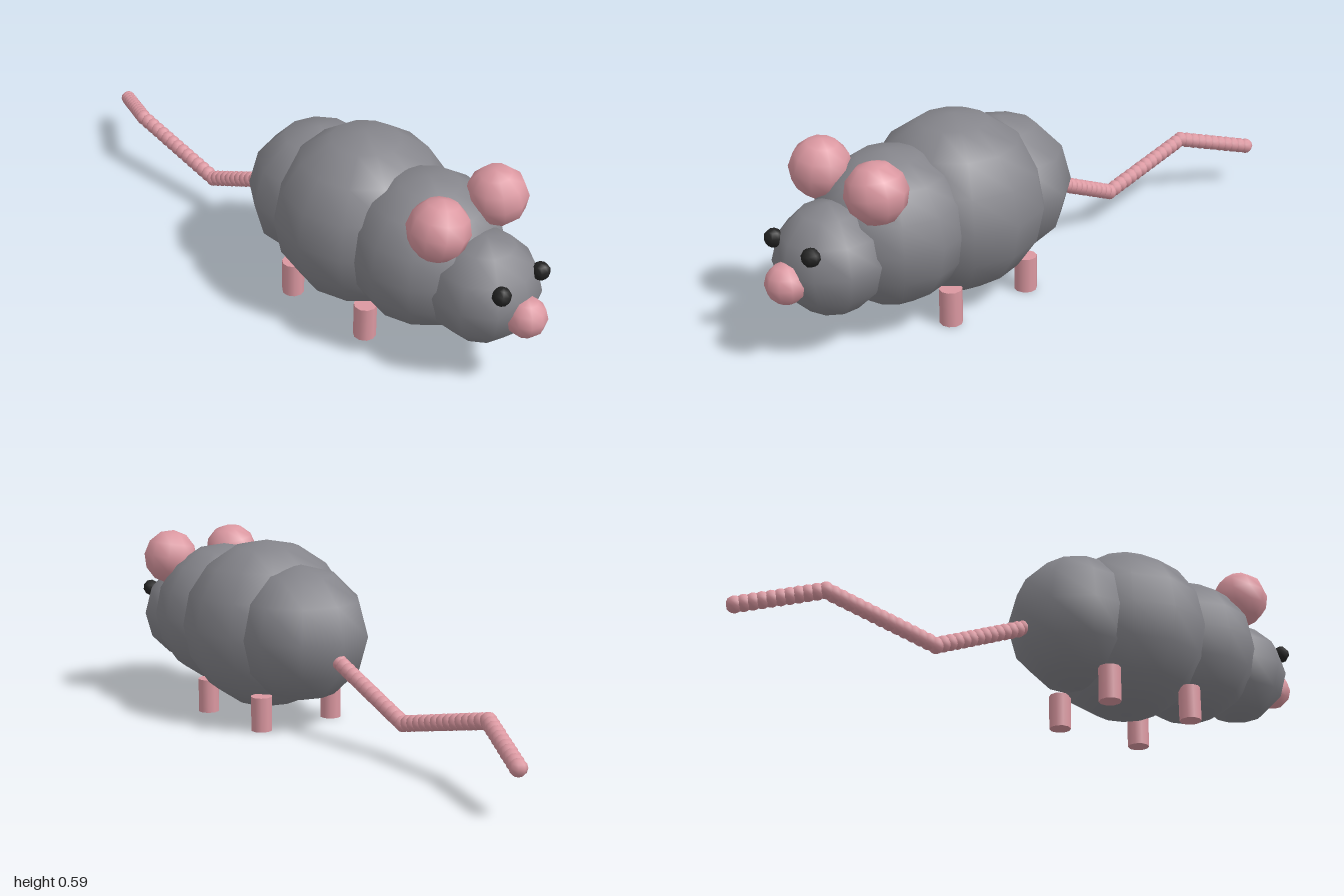
import * as THREE from 'three';

export function createModel() {
  const model = new THREE.Group();
  model.name = 'mouse';
  const paint = (name, color) => {
    const m = new THREE.MeshStandardMaterial({ color });
    m.name = name;
    return m;
  };
  const fur = paint('greyFur', 0x85858b);
  const skin = paint('pinkSkin', 0xdb98a1);
  const black = paint('blackEye', 0x222222);

  const add = (name, geometry, material, x, y, z, parent = model) => {
    const mesh = new THREE.Mesh(geometry, material);
    mesh.name = name;
    mesh.position.set(x, y, z);
    parent.add(mesh);
    return mesh;
  };
  // Low-sided ball with a vertex facing front
  const ball = (r, w, h) => new THREE.SphereGeometry(r, w, h).rotateY(Math.PI / 2);

  // Body, from head to rump
  add('head', ball(0.167, 10, 6), fur, 0, 0.28, 0.776);
  add('chest', ball(0.237, 12, 8), fur, 0, 0.309, 0.56);
  add('belly', ball(0.278, 12, 8), fur, 0, 0.309, 0.31);
  add('rump', ball(0.223, 10, 6), fur, 0, 0.305, 0.123);
  add('nose', ball(0.061, 10, 6), skin, 0, 0.253, 0.934);

  // Paired ears, eyes and legs
  for (const [side, s] of [['left', 1], ['right', -1]]) {
    const ear = add(side + 'Ear', ball(0.092, 10, 6), skin, s * 0.126, 0.494, 0.705);
    ear.rotation.z = s * 0.17;
    const eye = add(side + 'Eye', ball(0.028, 8, 5), black, s * 0.086, 0.353, 0.907);
    eye.rotation.z = s * 0.17;
    for (const [end, z] of [['Front', 0.457], ['Back', 0.149]]) {
      add(side + end + 'Leg', new THREE.CylinderGeometry(0.035, 0.035, 0.112, 10), skin, s * 0.14, 0.056, z);
    }
  }

  // Tail: beads along a bent path
  const tail = new THREE.Group();
  tail.name = 'tail';
  model.add(tail);
  const bends = [[0, 0.245, -0.075], [0, 0.113, -0.382], [0, 0.2, -0.745], [0.112, 0.142, -0.974]]
    .map((p) => new THREE.Vector3(...p));
  const counts = [13, 14, 10];
  const bead = ball(0.026, 8, 6);
  counts.forEach((n, i) => {
    for (let k = i ? 1 : 0; k <= n; k++) {
      const p = bends[i].clone().lerp(bends[i + 1], k / n);
      add('tailBead', bead, skin, p.x, p.y, p.z, tail);
    }
  });
  return model;
}
